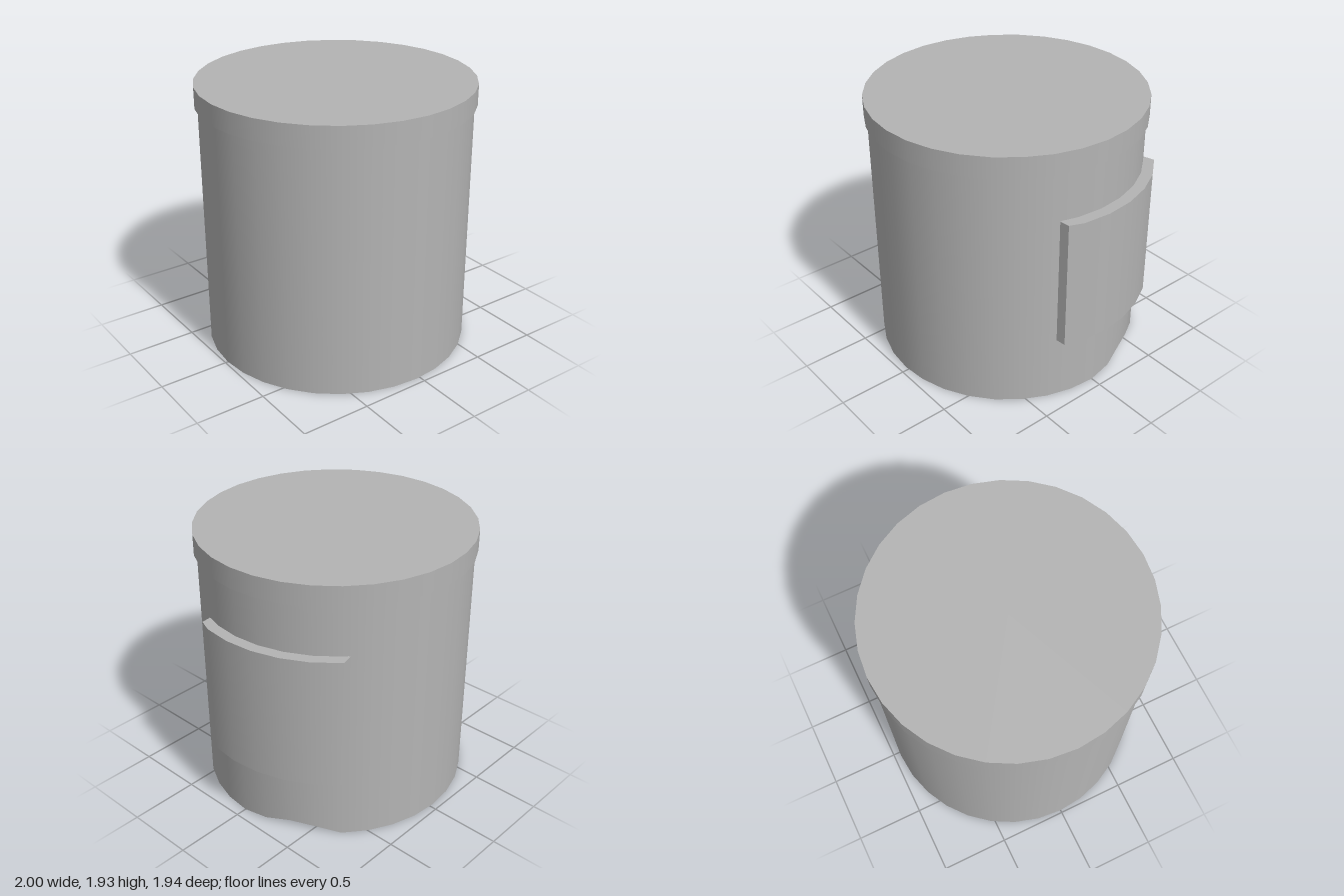
import * as THREE from 'three';

const CX = -0.03; // the canister axis sits slightly left of centre
const SIDES = 32;

export function createModel() {
  const group = new THREE.Group();
  const grey = new THREE.MeshStandardMaterial({ color: 0xb4b4b4 });
  grey.name = 'plain grey';

  const add = (name, geometry) => {
    const mesh = new THREE.Mesh(geometry, grey);
    mesh.name = name;
    group.add(mesh);
    return mesh;
  };

  // Body, with a shallow dent in the lower rim beneath the panel
  const bodyGeo = new THREE.CylinderGeometry(0.95, 0.95, 1.78, SIDES, 4);
  bodyGeo.translate(0, 0.89, 0);
  const p = bodyGeo.attributes.position;
  for (let i = 0; i < p.count; i++) {
    const x = p.getX(i), y = p.getY(i), z = p.getZ(i);
    if (y > 0.01 || Math.hypot(x, z) < 0.5) continue;
    const away = Math.abs(Math.atan2(z, x) + 0.44) / 0.3;
    const dent = Math.max(0, 1 - away * away);
    p.setXYZ(i, x * (1 - 0.03 * dent), y + 0.042 * dent, z * (1 - 0.03 * dent));
  }
  add('body', bodyGeo).position.x = CX;

  // Overhanging lid
  const lid = add('lid', new THREE.CylinderGeometry(0.97, 0.97, 0.15, SIDES));
  lid.position.set(CX, 1.855, 0);

  // Raised curved panel on the left side: an arc section extruded upwards
  const step = (Math.PI * 2) / SIDES;
  const polar = (r, a) => new THREE.Vector2(r * Math.cos(a), r * Math.sin(a));
  const outer = [polar(1.015, -0.3)];
  for (let k = -1; k <= 3; k++) outer.push(polar(1.03, k * step));
  outer.push(polar(1.026, 0.793));
  const inner = [polar(0.95, 0.84)];
  for (let k = 3; k >= -1; k--) inner.push(polar(0.93, k * step));
  inner.push(polar(0.95, -0.33));
  const panelGeo = new THREE.ExtrudeGeometry(new THREE.Shape([...outer, ...inner]), {
    depth: 0.95, bevelEnabled: false,
  });
  panelGeo.rotateX(-Math.PI / 2); // shape y becomes -z, depth becomes y
  panelGeo.translate(0, 0.48, 0);

  // Slightly bent lower back corner
  const q = panelGeo.attributes.position;
  for (let i = 0; i < q.count; i++) {
    if (q.getY(i) < 0.5 && q.getZ(i) < -0.65) {
      q.setY(i, 0.46);
      q.setZ(i, q.getZ(i) + 0.025);
    }
  }
  // Radial normals on the curved outer face, flat ends
  panelGeo.computeVertexNormals();
  const n = panelGeo.attributes.normal;
  for (let i = 0; i < q.count; i++) {
    const r = Math.hypot(q.getX(i), q.getZ(i));
    const dot = (n.getX(i) * q.getX(i) + n.getZ(i) * q.getZ(i)) / r;
    if (dot > 0.9) n.setXYZ(i, q.getX(i) / r, 0, q.getZ(i) / r);
  }
  add('sidePanel', panelGeo).position.x = CX;

  return group;
}
